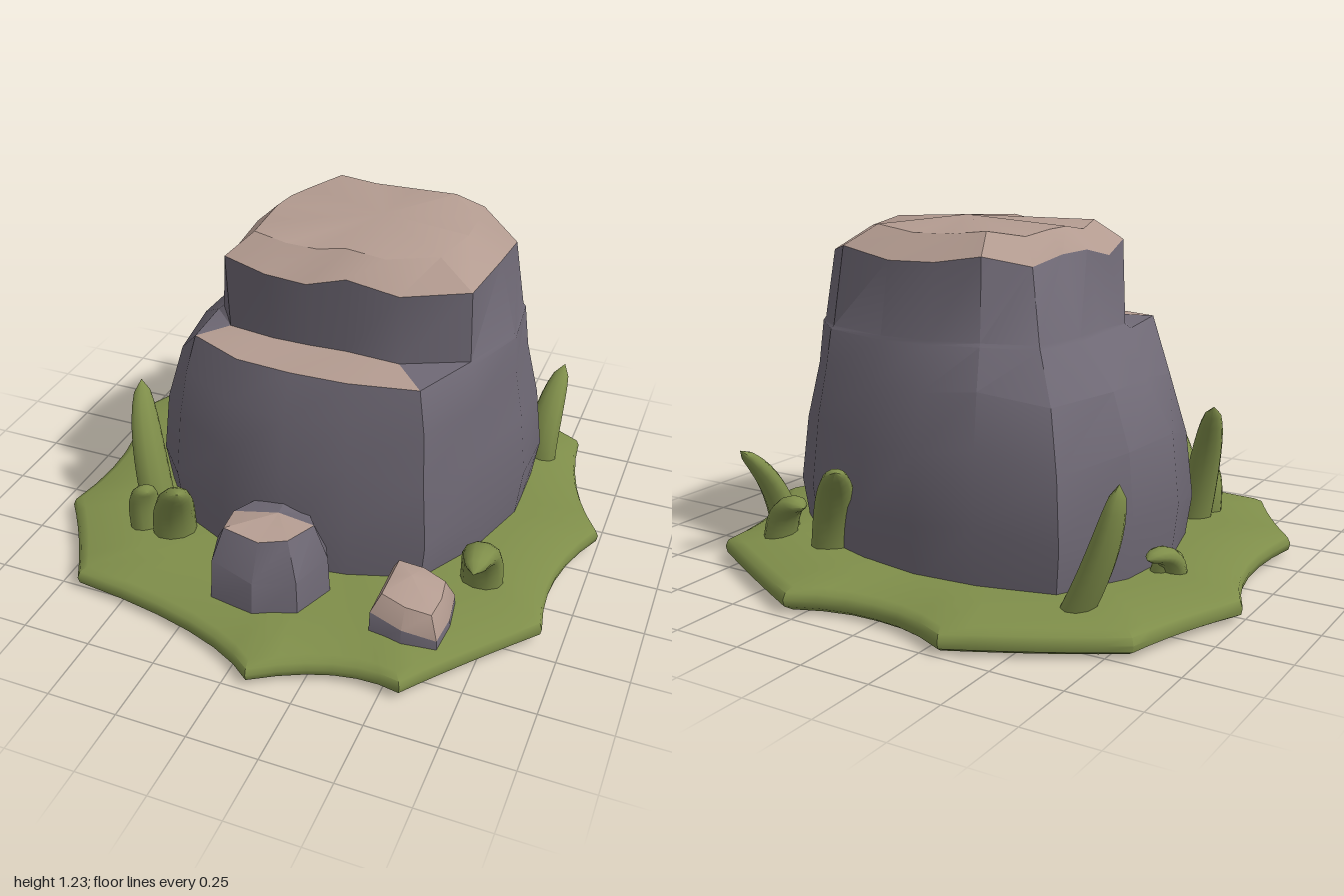
import * as THREE from 'three';
import { toCreasedNormals } from 'three/addons/utils/BufferGeometryUtils.js';

const V = (x, y, z) => new THREE.Vector3(x, y, z);

// Skins a stack of closed rings; pick(band, sector) chooses the material group
function loft(rings, crease, pick = () => 0) {
  const parts = [[], []];
  const n = rings[0].length;
  const tri = (out, a, b, c) => {
    const area = b.clone().sub(a).cross(c.clone().sub(a)).length();
    if (area > 1e-7) for (const p of [a, b, c]) out.push(p.x, p.y, p.z);
  };
  for (let i = 0; i < rings.length - 1; i++) {
    for (let j = 0; j < n; j++) {
      const k = (j + 1) % n, out = parts[pick(i, j)];
      const a = rings[i][j], b = rings[i][k], c = rings[i + 1][j], d = rings[i + 1][k];
      tri(out, a, c, b);
      tri(out, b, c, d);
    }
  }
  const geo = new THREE.BufferGeometry();
  geo.setAttribute('position', new THREE.Float32BufferAttribute([...parts[0], ...parts[1]], 3));
  geo.addGroup(0, parts[0].length / 3, 0);
  geo.addGroup(parts[0].length / 3, parts[1].length / 3, 1);
  return toCreasedNormals(geo, crease);
}

// Ring from polar radii around a centre; angle runs from +x toward +z
function polarRing(cx, cz, y, radii, lift = () => 0) {
  return radii.map((r, j) => {
    const a = (j / radii.length) * Math.PI * 2;
    const dx = Math.cos(a) * r, dz = Math.sin(a) * r;
    return V(cx + dx, y + lift(dx, dz, j), cz + dz);
  });
}
const point = (n, x, y, z) => Array.from({ length: n }, () => V(x, y, z));
const scaled = (radii, s) => radii.map((r) => r * s);

export function createModel() {
  const group = new THREE.Group();
  const grass = new THREE.MeshStandardMaterial({ name: 'grassGreen', color: 0x7f8e4a });
  const stone = new THREE.MeshStandardMaterial({ name: 'stoneGrey', color: 0x6e6874 });
  const tan = new THREE.MeshStandardMaterial({ name: 'stoneTan', color: 0xb39b90 });

  const add = (name, geo, mat) => {
    const mesh = new THREE.Mesh(geo, mat);
    mesh.name = name;
    group.add(mesh);
  };

  // Grass patch: scalloped outline of tips joined by inward curves
  const tips = [[-0.31, -0.99], [0.3, -0.98], [0.8, -0.71], [1, -0.14], [0.93, 0.43], [0.57, 0.86],
    [0.08, 0.98], [-0.68, 0.76], [-0.92, 0.39], [-1, -0.28], [-0.83, -0.72]];
  const dips = [[0, -0.9], [0.55, -0.85], [0.86, -0.41], [0.91, 0.14], [0.73, 0.66], [0.34, 0.86],
    [-0.2, 0.84], [-0.79, 0.57], [-0.9, 0.04], [-0.9, -0.5], [-0.58, -0.86]];
  const outline = [];
  tips.forEach((p, i) => {
    const q = tips[(i + 1) % tips.length], m = dips[i];
    const control = m.map((v, k) => 2 * v - (p[k] + q[k]) / 2);
    const curve = new THREE.QuadraticBezierCurve(
      new THREE.Vector2(...p), new THREE.Vector2(...control), new THREE.Vector2(...q));
    outline.push(...curve.getPoints(6).slice(0, 6));
  });
  const patchRing = (s, y) => outline.map((p) => V(p.x * s, y + 0.015 * Math.abs(p.x) + 0.008 * p.x, p.y * s));
  add('grassPatch', loft([
    point(outline.length, 0, 0.01, 0), patchRing(0.965, 0.004), patchRing(0.995, 0.022), patchRing(1, 0.045),
    patchRing(0.99, 0.068), patchRing(0.96, 0.082), patchRing(0.75, 0.1), point(outline.length, 0, 0.11, 0),
  ], 0.8), grass);

  // Main boulder with a front ledge and a flat crown
  const foot = [0.71, 0.68, 0.7, 0.62, 0.6, 0.62, 0.66, 0.68, 0.69, 0.71, 0.73, 0.63, 0.59, 0.61, 0.69, 0.76];
  const waist = [0.65, 0.63, 0.66, 0.57, 0.55, 0.57, 0.6, 0.59, 0.56, 0.6, 0.63, 0.55, 0.52, 0.55, 0.63, 0.68];
  const ledge = [0.64, 0.6, 0.62, 0.54, 0.49, 0.52, 0.56, 0.45, 0.4, 0.44, 0.5, 0.49, 0.47, 0.51, 0.61, 0.66];
  const step = [0.635, 0.59, 0.46, 0.35, 0.32, 0.35, 0.43, 0.43, 0.39, 0.43, 0.49, 0.48, 0.465, 0.505, 0.6, 0.65];
  const rim = [0.57, 0.58, 0.45, 0.36, 0.345, 0.38, 0.44, 0.37, 0.33, 0.33, 0.4, 0.45, 0.43, 0.47, 0.56, 0.61];
  const crown = [0.45, 0.44, 0.34, 0.27, 0.25, 0.28, 0.33, 0.28, 0.25, 0.26, 0.31, 0.35, 0.33, 0.37, 0.44, 0.47];
  const wave = (amount) => (dx, dz, j) => amount * Math.sin(j * 2.3 + 1);
  const body = (y, radii, amount = 0) => polarRing(0, -0.1, y, radii, wave(amount));
  add('mainBoulder', loft([
    body(0.06, scaled(foot, 0.96)), body(0.28, foot, 0.03), body(0.52, scaled(foot, 0.96), 0.04),
    body(0.71, waist, 0.02), body(0.855, ledge, 0.006), body(0.868, step, 0.004),
    body(1.125, rim, 0.022), body(1.205, crown, 0.012), point(16, 0.14, 1.235, -0.12),
  ], 0.5, (band, j) => (band >= 6 || (band === 4 && j >= 2 && j <= 5) ? 1 : 0)), [stone, tan]);

  // Small front rock with a tan patch on its top
  const small = [0.21, 0.21, 0.2, 0.24, 0.23, 0.22, 0.2, 0.2];
  add('frontRock', loft([
    polarRing(0, 0.55, 0.06, small), polarRing(0, 0.55, 0.23, scaled(small, 0.95), wave(0.02)),
    polarRing(0, 0.55, 0.36, [0.15, 0.13, 0.13, 0.18, 0.15, 0.13, 0.12, 0.13], wave(0.015)),
    point(8, 0.02, 0.39, 0.55),
  ], 0.45, (band, j) => (band === 2 && j < 4 ? 1 : 0)), [stone, tan]);

  // Smallest rock, mostly tan, sloping down to one side
  const pebble = [0.13, 0.17, 0.14, 0.17, 0.12, 0.17, 0.14, 0.16];
  const slope = (dx, dz) => -0.22 * dx - 0.05 * dz;
  add('sideRock', loft([
    polarRing(0.52, 0.57, 0.06, pebble), polarRing(0.52, 0.57, 0.165, scaled(pebble, 0.97), slope),
    polarRing(0.52, 0.57, 0.235, scaled(pebble, 0.72), slope), point(8, 0.5, 0.265, 0.55),
  ], 0.45, (band) => (band >= 1 ? 1 : 0)), [stone, tan]);

  // Curved, tapering grass blades: base, bend and tip points plus half width
  function blade(base, bend, tip, w) {
    const curve = new THREE.QuadraticBezierCurve3(V(...base), V(...bend), V(...tip));
    const wide = V(base[2] - tip[2], 0, tip[0] - base[0]).normalize();
    const rings = [];
    const steps = 10, sides = 10;
    for (let i = 0; i <= steps; i++) {
      const t = i / steps, p = curve.getPoint(t);
      const thick = wide.clone().cross(curve.getTangent(t));
      const r = w * Math.sqrt(Math.max(0, 1 - t ** 2.4));
      rings.push(Array.from({ length: sides }, (_, j) => {
        const a = (j / sides) * Math.PI * 2;
        return p.clone().addScaledVector(wide, Math.cos(a) * r).addScaledVector(thick, Math.sin(a) * r * 0.7);
      }));
    }
    return loft(rings, 1.2);
  }
  const blades = [
    [[0.68, 0.07, 0.31], [0.69, 0.36, 0.33], [0.71, 0.33, 0.55], 0.075],
    [[0.4, 0.07, -0.6], [0.36, 0.34, -0.62], [0.23, 0.44, -0.78], 0.075],
    [[0.68, 0.07, -0.52], [0.68, 0.28, -0.53], [0.71, 0.43, -0.71], 0.065],
    [[0.64, 0.07, -0.6], [0.6, 0.27, -0.62], [0.48, 0.24, -0.65], 0.065],
    [[-0.58, 0.07, -0.62], [-0.7, 0.3, -0.63], [-0.74, 0.52, -0.65], 0.07],
    [[-0.55, 0.07, 0.36], [-0.61, 0.4, 0.34], [-0.68, 0.57, 0.21], 0.065],
    [[-0.56, 0.07, 0.45], [-0.58, 0.28, 0.45], [-0.52, 0.29, 0.5], 0.06],
    [[-0.45, 0.07, 0.44], [-0.44, 0.28, 0.47], [-0.34, 0.4, 0.6], 0.08],
    [[-0.72, 0.07, -0.2], [-0.73, 0.2, -0.22], [-0.7, 0.18, -0.36], 0.055],
    [[-0.68, 0.07, -0.22], [-0.7, 0.19, -0.22], [-0.77, 0.14, -0.23], 0.05],
  ];
  blades.forEach((b, i) => add('grassBlade' + (i + 1), blade(...b), grass));

  return group;
}
